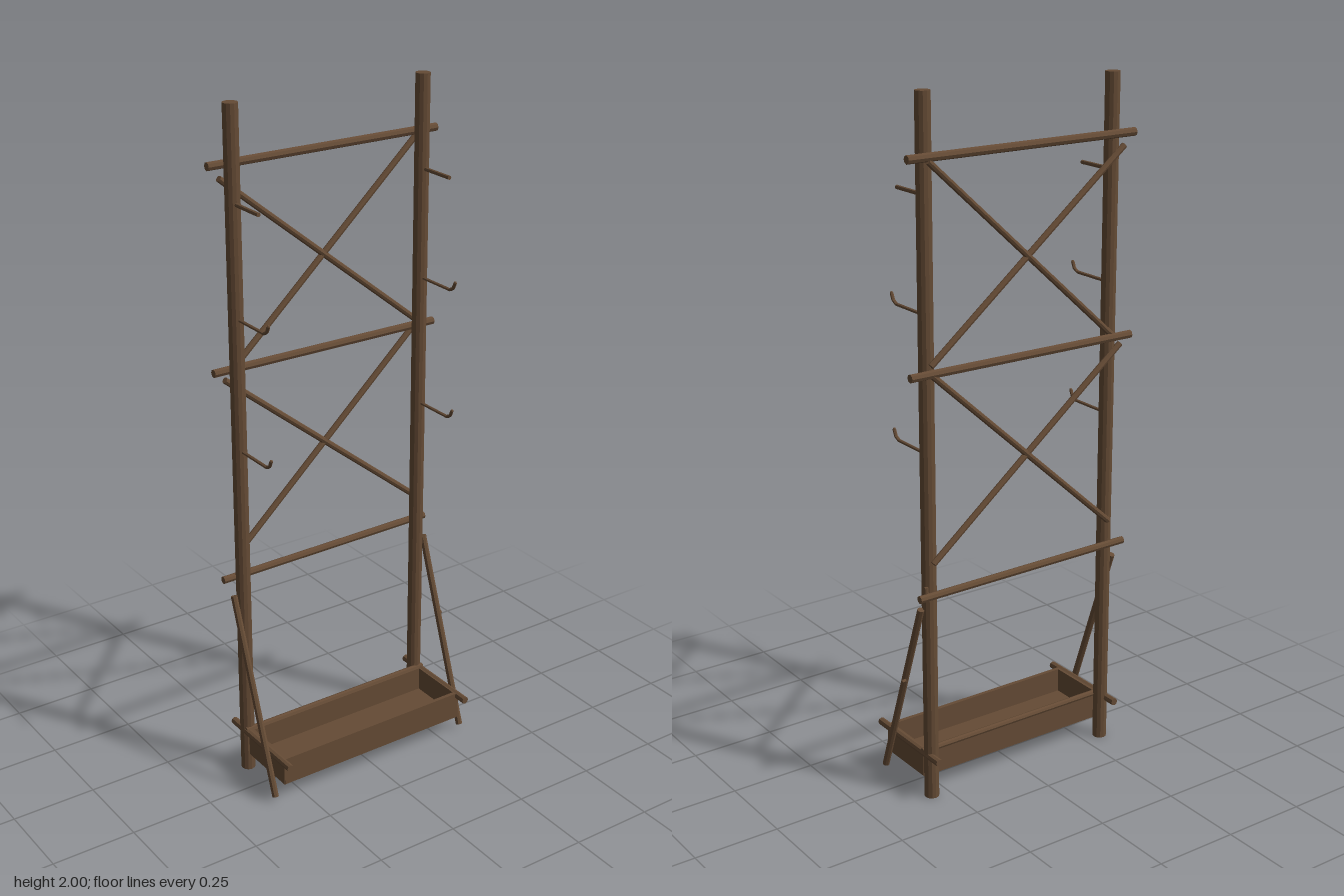
import * as THREE from 'three';

const wood = new THREE.MeshStandardMaterial({ color: 0x654b35 });
wood.name = 'brownWood';
wood.flatShading = true;

export function createModel() {
  const model = new THREE.Group();
  model.name = 'woodenRack';

  const add = (name, geometry) => {
    const mesh = new THREE.Mesh(geometry, wood);
    mesh.name = name;
    model.add(mesh);
    return mesh;
  };

  // Round bar between two points
  const bar = (name, a, b, radius, sides = 8) => {
    const p = new THREE.Vector3(...a), q = new THREE.Vector3(...b);
    const dir = q.clone().sub(p);
    const mesh = add(name, new THREE.CylinderGeometry(radius, radius, dir.length(), sides));
    mesh.position.copy(p).add(q).multiplyScalar(0.5);
    mesh.quaternion.setFromUnitVectors(new THREE.Vector3(0, 1, 0), dir.normalize());
    return mesh;
  };

  const box = (name, x0, x1, y0, y1, z0, z1) => {
    const mesh = add(name, new THREE.BoxGeometry(x1 - x0, y1 - y0, z1 - z0));
    mesh.position.set((x0 + x1) / 2, (y0 + y1) / 2, (z0 + z1) / 2);
  };

  // Upright posts, each with its hooks
  for (const [side, x] of [['right', -0.31], ['left', 0.301]]) {
    bar(side + 'Post', [x, 0, -0.097], [x, 2, -0.097], 0.021, 12);
    bar(side + 'Peg', [x, 1.735, -0.09], [x, 1.735, 0.03], 0.006);
    for (const y of [1.418, 1.034]) {
      const path = new THREE.CurvePath();
      const pts = [[-0.09, 0], [0.042, 0], [0.058, 0.008], [0.066, 0.026]]
        .map(([z, dy]) => new THREE.Vector3(x, y + dy, z));
      for (let i = 0; i < 3; i++) path.add(new THREE.LineCurve3(pts[i], pts[i + 1]));
      add(side + 'Hook', new THREE.TubeGeometry(path, 18, 0.005, 6));
      // Rounded tip closing the tube
      add(side + 'HookTip', new THREE.SphereGeometry(0.005, 6, 4)).position.copy(pts[3]);
    }
  }

  // Cross rails behind the posts
  for (const y of [1.835, 1.264])
    bar('crossRail', [-0.369, y, -0.124], [0.369, y, -0.124], 0.012);
  bar('lowerRail', [-0.364, 0.635, -0.117], [0.354, 0.635, -0.13], 0.011);

  // Diagonal braces, one crossed pair per bay
  for (const y of [1.27, 0.71]) {
    bar('fallingBrace', [-0.338, y + 0.53, -0.118], [0.302, y + 0.015, -0.122], 0.009);
    bar('risingBrace', [-0.308, y, -0.118], [0.306, y + 0.555, -0.126], 0.009);
  }

  // Slanting struts and the bars that carry the tray
  bar('rightStrut', [-0.342, 0.587, -0.097], [-0.342, 0.018, 0.104], 0.01);
  bar('leftStrut', [0.329, 0.587, -0.097], [0.329, 0.018, 0.104], 0.01);
  bar('rightTrayBar', [-0.319, 0.132, -0.155], [-0.319, 0.132, 0.152], 0.011);
  bar('leftTrayBar', [0.312, 0.132, -0.155], [0.312, 0.132, 0.152], 0.011);

  // Open tray
  box('trayFloor', -0.315, 0.312, 0.055, 0.067, -0.075, 0.114);
  box('trayFront', -0.315, 0.312, 0.055, 0.14, 0.103, 0.115);
  box('trayBack', -0.315, 0.312, 0.055, 0.14, -0.079, -0.067);
  box('trayRightEnd', -0.317, -0.304, 0.055, 0.14, -0.075, 0.114);
  box('trayLeftEnd', 0.301, 0.314, 0.055, 0.14, -0.075, 0.114);
  bar('trayBackRim', [-0.325, 0.139, -0.08], [0.32, 0.139, -0.08], 0.009);

  // Small nail and stub on the left side
  bar('nail', [0.338, 0.345, -0.027], [0.351, 0.345, -0.027], 0.005, 6);
  bar('railStub', [0.327, 0.635, -0.125], [0.327, 0.662, -0.122], 0.006, 6);

  return model;
}
